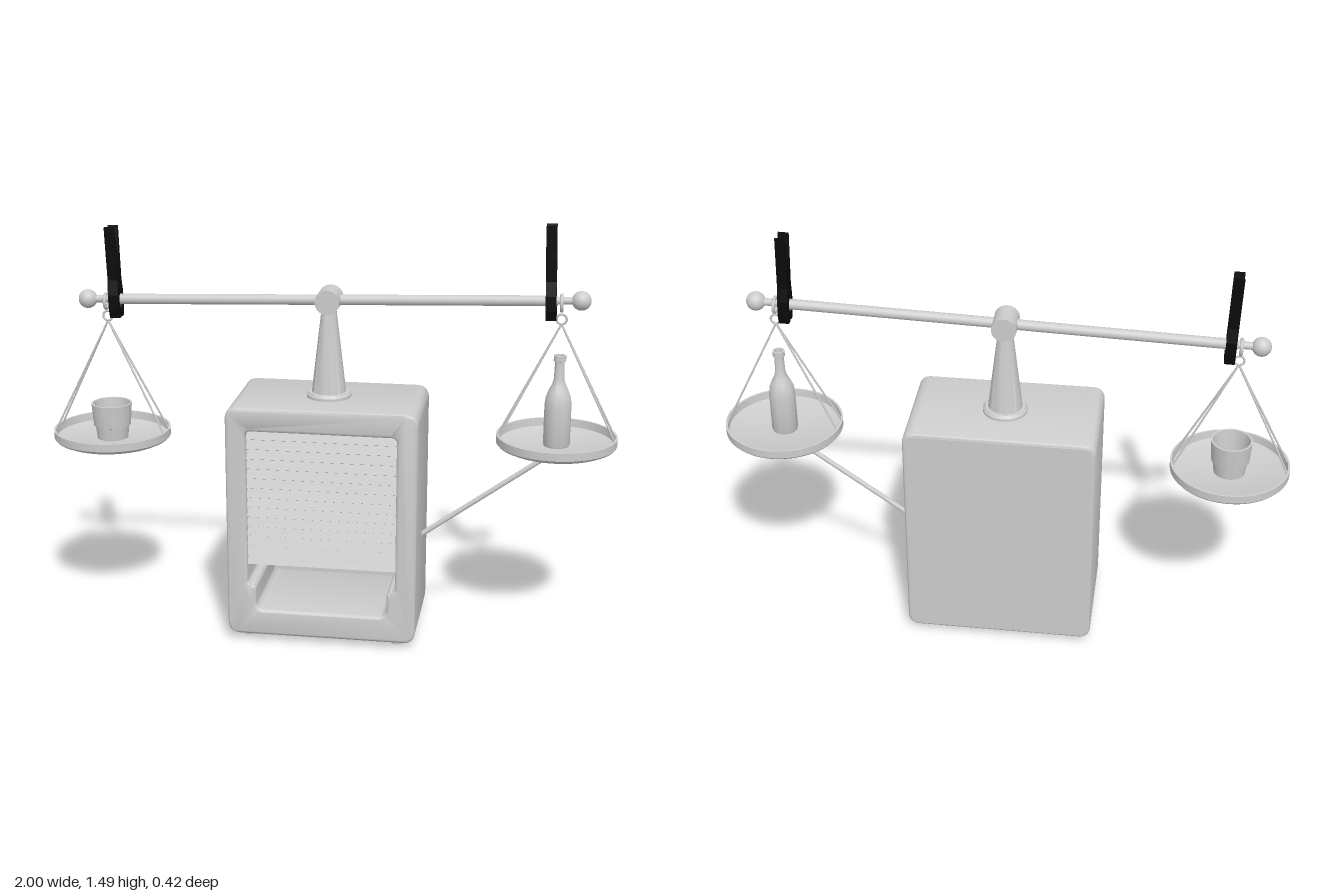
import * as THREE from 'three';
import { toCreasedNormals } from 'three/addons/utils/BufferGeometryUtils.js';

const V = (x, y, z = 0) => new THREE.Vector3(x, y, z);

export function createModel() {
  const model = new THREE.Group();
  const grey = new THREE.MeshStandardMaterial({ color: 0xcccccc, side: THREE.DoubleSide });
  grey.name = 'light grey';
  const black = new THREE.MeshStandardMaterial({ color: 0x0a0a0a });
  black.name = 'black';

  function add(parent, name, geometry, x = 0, y = 0, z = 0, material = grey) {
    const mesh = new THREE.Mesh(geometry, material);
    mesh.name = name;
    mesh.position.set(x, y, z);
    parent.add(mesh);
    return mesh;
  }

  // Straight round bar between two points
  function bar(parent, name, a, b, r, sides = 16) {
    const d = b.clone().sub(a);
    const m = add(parent, name, new THREE.CylinderGeometry(r, r, d.length(), sides));
    m.position.copy(a).add(b).multiplyScalar(0.5);
    m.quaternion.setFromUnitVectors(V(0, 1), d.normalize());
    return m;
  }

  const lathe = (pts, sides = 48) => toCreasedNormals(
    new THREE.LatheGeometry(pts.map(p => new THREE.Vector2(...p)), sides), 0.6);

  // Polygon with rounded corners; each point is [x, y, radius]
  function rounded(path, pts) {
    const v = pts.map(p => new THREE.Vector2(p[0], p[1]));
    v.forEach((c, i) => {
      const r = pts[i][2];
      const prev = v[(i + v.length - 1) % v.length], next = v[(i + 1) % v.length];
      const a = prev.clone().sub(c).setLength(r).add(c);
      const b = next.clone().sub(c).setLength(r).add(c);
      if (i === 0) path.moveTo(a.x, a.y); else path.lineTo(a.x, a.y);
      path.quadraticCurveTo(c.x, c.y, b.x, b.y);
    });
    path.closePath();
    return path;
  }

  // Cabinet shell with a stepped front opening
  const cabinet = new THREE.Group();
  cabinet.name = 'cabinet';
  cabinet.position.x = -0.003;
  model.add(cabinet);
  const box = (w, y0, y1, r) => [[-w, y0, r], [w, y0, r], [w, y1, r], [-w, y1, r]];
  const shell = rounded(new THREE.Shape(), box(0.334, 0.022, 0.863, 0.045));
  shell.holes.push(rounded(new THREE.Path(), [
    [-0.232, 0.118, 0.03], [-0.232, 0.21, 0.02], [-0.262, 0.21, 0.02], [-0.262, 0.778, 0.02],
    [0.262, 0.778, 0.02], [0.262, 0.21, 0.02], [0.232, 0.21, 0.02], [0.232, 0.118, 0.03],
  ]));
  const bevel = 0.012;
  add(cabinet, 'cabinetShell', toCreasedNormals(new THREE.ExtrudeGeometry(shell, {
    depth: 0.392 - 2 * bevel, bevelSize: bevel, bevelThickness: bevel,
    bevelOffset: -bevel, bevelSegments: 4, curveSegments: 10,
  }), 0.6), 0, 0, -0.196 + bevel);
  const back = rounded(new THREE.Shape(), box(0.322, 0.034, 0.851, 0.035));
  add(cabinet, 'backPanel', new THREE.ExtrudeGeometry(back, { depth: 0.004, bevelEnabled: false }), 0, 0, -0.198);

  // Louvre slats
  const slatCount = 14, pitch = 0.0355;
  for (let i = 0; i < slatCount; i++) {
    const slat = add(cabinet, 'slat', new THREE.BoxGeometry(0.53, 0.04, 0.008), 0, 0.302 + i * pitch, 0.168);
    slat.rotation.x = -0.4;
  }

  // Feet
  for (const x of [-0.265, 0.265]) for (const z of [-0.135, 0.135]) {
    add(cabinet, 'foot', new THREE.CylinderGeometry(0.023, 0.02, 0.03, 24), x, 0.015, z);
  }

  // Tapered column and pivot
  add(model, 'column', lathe([
    [0, 0.86], [0.078, 0.86], [0.078, 0.872], [0.07, 0.882], [0.06, 0.882], [0.024, 1.19], [0, 1.19],
  ]), -0.003, 0, 0);
  const pivot = add(model, 'pivot', new THREE.CylinderGeometry(0.043, 0.043, 0.1, 40), -0.003, 1.207, 0);
  pivot.rotation.x = Math.PI / 2;

  // Tilted beam with ball ends
  const tilt = 0.031;
  const beam = new THREE.Group();
  beam.name = 'beam';
  beam.position.set(-0.003, 1.207, 0);
  beam.rotation.z = tilt;
  model.add(beam);
  bar(beam, 'beamRod', V(-0.78, 0), V(0.78, 0), 0.018, 24);

  // One leg of a clothespin, drawn in z and y
  const leg = new THREE.Shape();
  leg.moveTo(0.027, 0.257);
  leg.lineTo(0.02, 0.257);
  leg.lineTo(0.002, 0.13);
  leg.lineTo(0.002, 0.02);
  leg.quadraticCurveTo(0.018, 0.016, 0.018, 0);
  leg.quadraticCurveTo(0.018, -0.016, 0.004, -0.03);
  leg.lineTo(0.008, -0.064);
  leg.lineTo(0.026, -0.064);
  leg.lineTo(0.034, -0.03);
  leg.lineTo(0.034, 0.02);
  leg.lineTo(0.024, 0.07);
  leg.closePath();
  const legGeo = new THREE.ExtrudeGeometry(leg, { depth: 0.036, bevelEnabled: false, curveSegments: 6 });
  legGeo.translate(0, 0, -0.018);

  for (const s of [-1, 1]) {
    bar(beam, 'beamTip', V(s * 0.77, 0), V(s * 0.85, 0), 0.013);
    add(beam, 'endBall', new THREE.SphereGeometry(0.033, 32, 20), s * 0.859, 0, 0);
    const collar = add(beam, 'hangingRing', new THREE.TorusGeometry(0.026, 0.006, 10, 32), s * 0.793, -0.008, 0);
    collar.rotation.y = Math.PI / 2;

    // Clothespin clamped on the beam
    const pin = new THREE.Group();
    pin.name = 'clothespin';
    pin.position.x = s * 0.758;
    beam.add(pin);
    for (const turn of [-1, 1]) {
      add(pin, 'clothespinLeg', legGeo, 0, 0, 0, black).rotation.y = turn * Math.PI / 2;
    }
    const coil = add(pin, 'clothespinSpring', new THREE.TorusGeometry(0.009, 0.003, 8, 20), 0, 0.12, 0);
    coil.rotation.y = Math.PI / 2;
  }

  // Dished pan with its hook ring and four wires
  const panGeo = lathe([
    [0, -0.066], [0.08, -0.064], [0.14, -0.056], [0.185, -0.043], [0.202, -0.035], [0.208, -0.028],
    [0.208, 0], [0.201, 0], [0.198, -0.028], [0.185, -0.034], [0, -0.038],
  ], 64);
  function pan(x, rimY, ringY) {
    const g = new THREE.Group();
    g.name = 'hangingPan';
    g.position.set(x, rimY, 0);
    model.add(g);
    add(g, 'pan', panGeo);
    const h = ringY - rimY;
    add(g, 'hookRing', new THREE.TorusGeometry(0.017, 0.004, 8, 28), 0, h, 0);
    for (const sx of [-1, 1]) for (const sz of [-1, 1]) {
      bar(g, 'wire', V(0, h - 0.017, 0), V(sx * 0.2, -0.01, sz * 0.036), 0.0035, 8);
    }
    return g;
  }
  const rightPan = pan(-0.792, 0.71, 1.122);
  const leftPan = pan(0.792, 0.758, 1.168);

  // Open cup
  add(rightPan, 'cup', lathe([
    [0, -0.038], [0.055, -0.038], [0.06, 0.01], [0.066, 0.012], [0.072, 0.092],
    [0.065, 0.092], [0.054, -0.02], [0, -0.02],
  ]));

  // Bottle
  add(leftPan, 'bottle', lathe([
    [0, -0.038], [0.043, -0.038], [0.046, -0.03], [0.046, 0.11], [0.043, 0.135], [0.034, 0.16],
    [0.023, 0.182], [0.018, 0.2], [0.016, 0.262], [0.021, 0.264], [0.021, 0.284], [0.014, 0.284],
    [0.012, 0.25], [0, 0.25],
  ], 40));

  // Slanted prop under the raised pan
  bar(model, 'prop', V(0.325, 0.36), V(0.792, 0.7), 0.009);

  return model;
}
